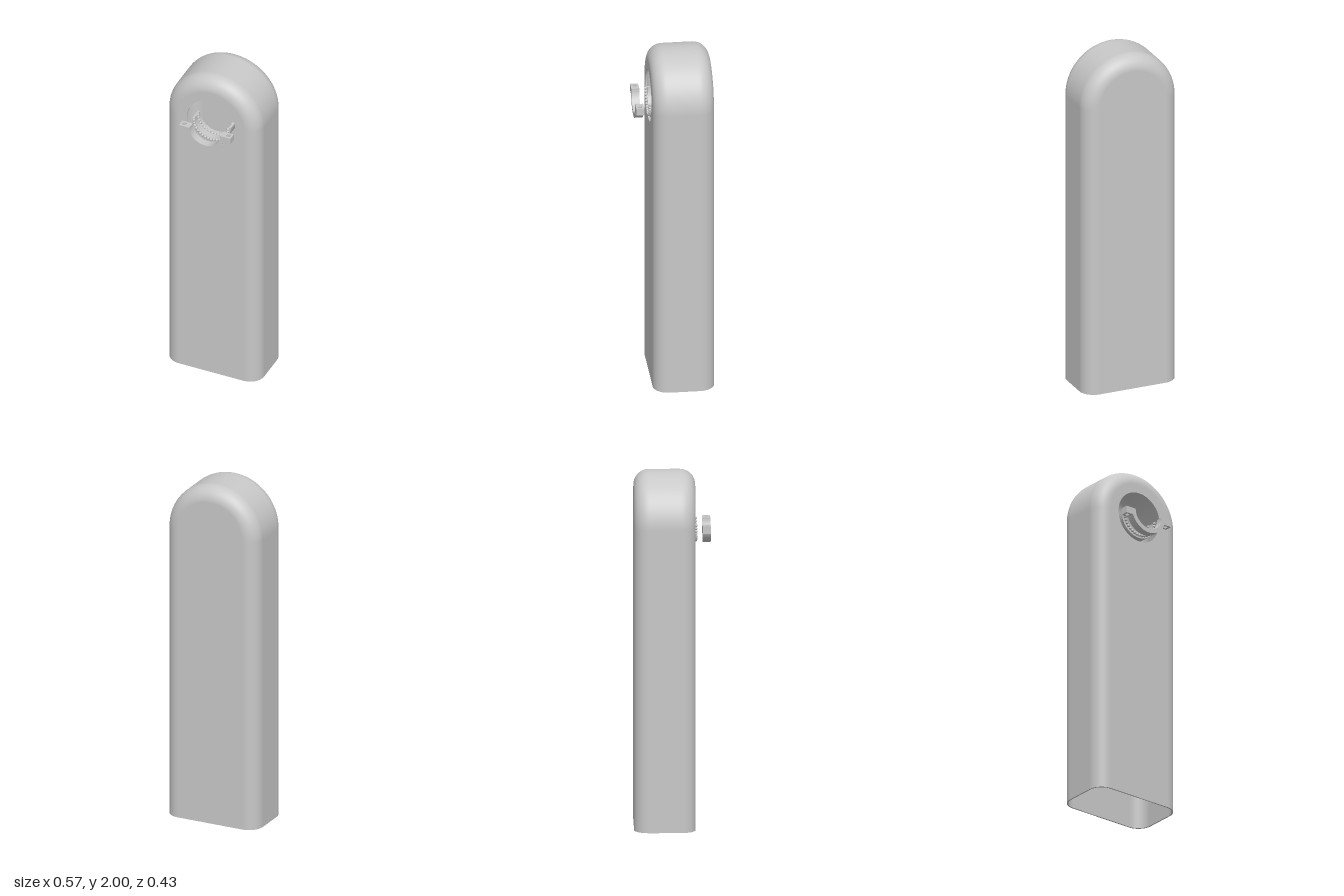
import * as THREE from 'three';
import { toCreasedNormals } from 'three/addons/utils/BufferGeometryUtils.js';

const CORE = 0.2;              // flat part half width
const ZF = 0.042, ZB = -0.13;  // centres of the front and back edge rounding
const CY = 1.715;              // centre of the arched top
const RING_Y = 1.71;           // centre of the half rings
const ROUND = 0.085, WALL = 0.008;
const HOLE = 0.147;

// Edge profile from front to back: [arch radius, z, radial normal, z normal]
function edgeProfile(c) {
  const rows = [];
  const n = 12;
  for (const [z, start] of [[ZF, 0], [ZB, Math.PI / 2]]) {
    for (let i = 0; i <= n; i++) {
      const a = start + (i / n) * Math.PI / 2;
      rows.push([CORE + c * Math.sin(a), z + c * Math.cos(a), Math.sin(a), Math.cos(a)]);
    }
  }
  return rows;
}

// Sweep the edge profile up one side, over the arch and down the other
function archWall(c, inward) {
  const rows = edgeProfile(c);
  const stations = [[0, 0]];
  const n = 64;
  for (let i = 0; i <= n; i++) stations.push([(i / n) * Math.PI, CY]);
  stations.push([Math.PI, 0]);
  const pos = [], nor = [], idx = [];
  const s = inward ? -1 : 1;
  for (const [a, y] of stations) {
    for (const [r, z, nr, nz] of rows) {
      pos.push(r * Math.cos(a), y + r * Math.sin(a), z);
      nor.push(s * nr * Math.cos(a), s * nr * Math.sin(a), s * nz);
    }
  }
  const w = rows.length;
  for (let i = 0; i < stations.length - 1; i++) {
    for (let j = 0; j < w - 1; j++) {
      const a = i * w + j, b = a + 1, d = a + w, e = d + 1;
      if (inward) idx.push(a, d, b, b, d, e);
      else idx.push(a, b, d, b, e, d);
    }
  }
  const g = new THREE.BufferGeometry();
  g.setAttribute('position', new THREE.Float32BufferAttribute(pos, 3));
  g.setAttribute('normal', new THREE.Float32BufferAttribute(nor, 3));
  g.setIndex(idx);
  return g;
}

// Flat arched panel, optionally with the round opening
function archPanel(z, facing, withHole) {
  const s = new THREE.Shape();
  s.moveTo(-CORE, 0);
  s.lineTo(CORE, 0);
  s.absarc(0, CY, CORE, 0, Math.PI, false);
  s.closePath();
  if (withHole) {
    const h = new THREE.Path();
    h.absarc(0, CY, HOLE, 0, Math.PI * 2, true);
    s.holes.push(h);
  }
  const g = new THREE.ShapeGeometry(s, 32);
  if (facing < 0) g.rotateY(Math.PI);
  return g.translate(0, 0, z);
}

// Half ring hanging below its centre
function halfRing(outer, inner, depth) {
  const s = new THREE.Shape();
  s.absarc(0, 0, outer, Math.PI, Math.PI * 2, false);
  s.lineTo(inner, 0);
  s.absarc(0, 0, inner, Math.PI * 2, Math.PI, true);
  s.closePath();
  const g = new THREE.ExtrudeGeometry(s, { depth, bevelEnabled: false, curveSegments: 40 });
  return toCreasedNormals(g, 0.6);
}

// Lug with a vertical screw hole, centred on z = 0
function lugGeometry() {
  const s = new THREE.Shape();
  s.moveTo(0.111, -0.0225);
  s.lineTo(0.157, -0.0225);
  s.lineTo(0.157, 0.0225);
  s.lineTo(0.111, 0.0225);
  s.closePath();
  const h = new THREE.Path();
  h.absarc(0.135, 0, 0.012, 0, Math.PI * 2, true);
  s.holes.push(h);
  const g = new THREE.ExtrudeGeometry(s, { depth: 0.04, bevelEnabled: false, curveSegments: 16 });
  return toCreasedNormals(g.rotateX(Math.PI / 2), 0.6);
}

export function createModel() {
  const model = new THREE.Group();
  const grey = new THREE.MeshStandardMaterial({ color: 0xc8c8c8 });
  grey.name = 'grey';
  const add = (parent, name, geometry) => {
    const m = new THREE.Mesh(geometry, grey);
    m.name = name;
    parent.add(m);
    return m;
  };
  const group = (name) => {
    const g = new THREE.Group();
    g.name = name;
    model.add(g);
    return g;
  };

  // Hollow arched housing, open at the bottom
  const housing = group('housing');
  const inner = ROUND - WALL;
  add(housing, 'outerWall', archWall(ROUND, false));
  add(housing, 'innerWall', archWall(inner, true));
  add(housing, 'frontPanel', archPanel(ZF + ROUND, 1, true));
  add(housing, 'backPanel', archPanel(ZB - ROUND, -1, false));
  add(housing, 'frontPanelInside', archPanel(ZF + inner, -1, true));
  add(housing, 'backPanelInside', archPanel(ZB - inner, 1, false));

  // Bottom rim joining the two walls
  const outline = (c) => {
    const half = edgeProfile(c).map(([r, z]) => new THREE.Vector2(r, z));
    return half.concat(half.map((p) => new THREE.Vector2(-p.x, p.y)).reverse());
  };
  const rim = new THREE.Shape(outline(ROUND));
  rim.holes.push(new THREE.Path(outline(inner)));
  add(housing, 'bottomRim', new THREE.ShapeGeometry(rim).rotateX(Math.PI / 2));

  // Edge of the round opening, facing its centre
  const edge = new THREE.LatheGeometry(
    [new THREE.Vector2(HOLE, WALL / 2), new THREE.Vector2(HOLE, -WALL / 2)], 64);
  const edgeMesh = add(housing, 'openingEdge', edge.rotateX(Math.PI / 2));
  edgeMesh.position.set(0, CY, ZF + ROUND - WALL / 2);

  // Clamp in front of the opening
  const clamp = group('clamp');
  clamp.position.set(0, RING_Y, 0.19);
  add(clamp, 'clampHalfRing', halfRing(0.118, 0.093, 0.045)).position.z = -0.0225;
  add(clamp, 'leftLug', lugGeometry());
  add(clamp, 'rightLug', lugGeometry()).rotation.y = Math.PI;

  // Half ring cradle inside the opening, lined with two rows of beads
  const bearing = group('bearing');
  bearing.position.y = RING_Y;
  add(bearing, 'cradle', halfRing(0.118, 0.105, 0.077)).position.z = 0.045;
  const bead = new THREE.SphereGeometry(0.0085, 14, 10);
  const count = 19;
  for (const z of [0.13, 0.075]) {
    for (let i = 0; i < count; i++) {
      const a = Math.PI + ((i + 0.25) / (count - 0.5)) * Math.PI;
      add(bearing, 'bead', bead).position.set(0.105 * Math.cos(a), 0.105 * Math.sin(a), z);
    }
  }
  return model;
}
